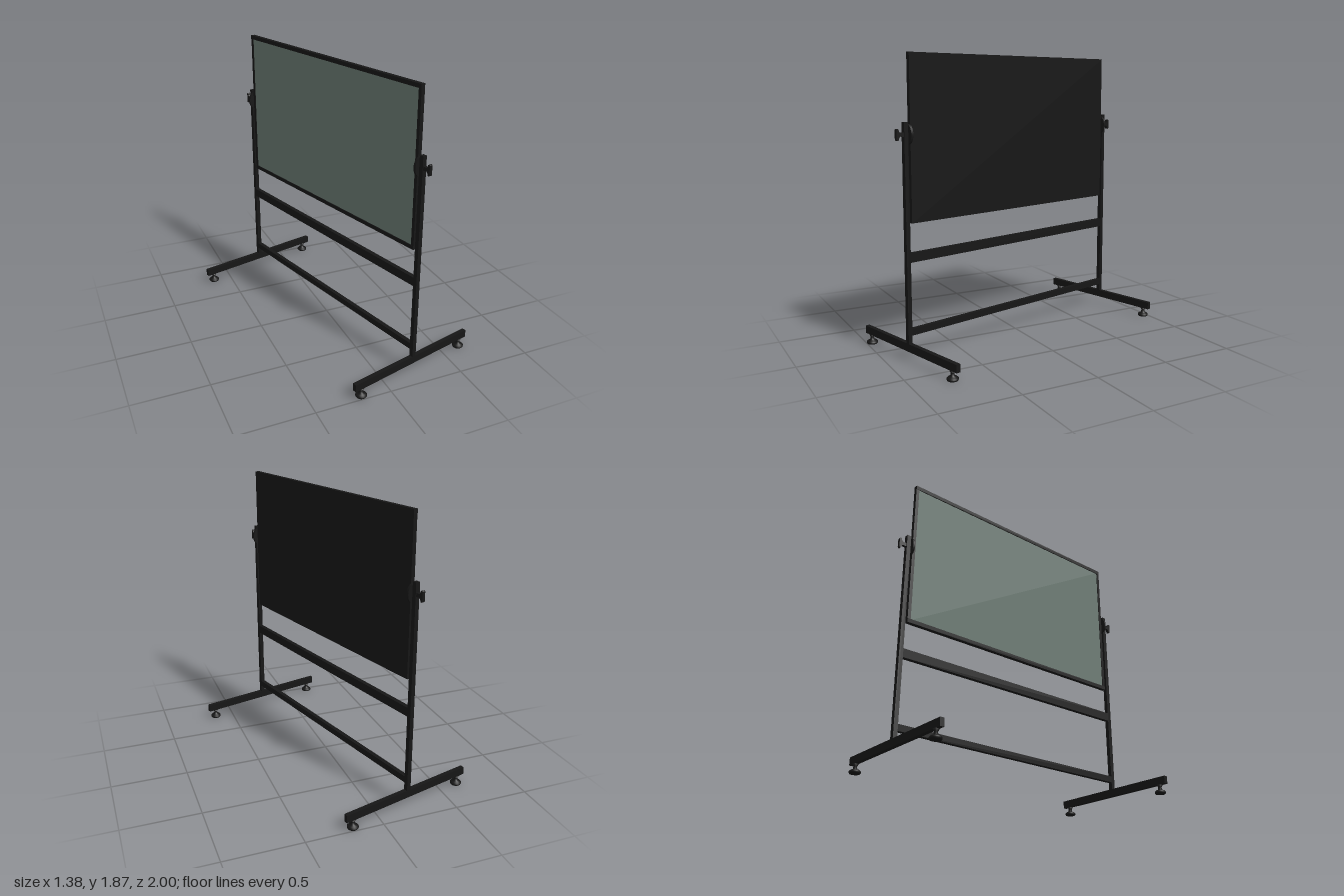
import * as THREE from 'three';

const black = new THREE.MeshStandardMaterial({ color: 0x161616 });
const green = new THREE.MeshStandardMaterial({ color: 0x66766e });

function add(parent, name, geometry, x, y, z, material = black) {
  const mesh = new THREE.Mesh(geometry, material);
  mesh.name = name;
  mesh.position.set(x, y, z);
  parent.add(mesh);
  return mesh;
}

const box = (w, h, d) => new THREE.BoxGeometry(w, h, d);

// Levelling pad: round base, thin stem, flared top
function padGeometry() {
  const profile = [[0, 0], [0.032, 0], [0.036, 0.006], [0.036, 0.014], [0.028, 0.022],
    [0.013, 0.028], [0.011, 0.045], [0.019, 0.06], [0, 0.06]];
  return new THREE.LatheGeometry(profile.map(([r, y]) => new THREE.Vector2(r, y)), 24);
}

// Flat wing knob, drawn outwards along +x and turned to point along +z
function knobGeometry() {
  const s = new THREE.Shape();
  s.moveTo(0, -0.013);
  s.lineTo(0.025, -0.011);
  s.quadraticCurveTo(0.036, -0.014, 0.038, -0.03);
  s.quadraticCurveTo(0.045, -0.04, 0.053, -0.03);
  s.lineTo(0.053, 0.03);
  s.quadraticCurveTo(0.045, 0.04, 0.038, 0.03);
  s.quadraticCurveTo(0.036, 0.014, 0.025, 0.011);
  s.lineTo(0, 0.013);
  const g = new THREE.ExtrudeGeometry(s, { depth: 0.02, bevelEnabled: false, curveSegments: 6 });
  g.translate(0, 0, -0.01);
  g.rotateY(-Math.PI / 2);
  return g;
}

// One end of the stand: foot, pads, post and pivot hardware
function createEnd() {
  const end = new THREE.Group();
  add(end, 'foot', box(0.955, 0.05, 0.028), 0, 0.085, 0.888);
  for (const side of [-1, 1]) add(end, 'levellingPad', padGeometry(), side * 0.424, 0, 0.888);
  add(end, 'post', box(0.028, 1.35, 0.028), 0, 0.785, 0.888);

  const flange = new THREE.CylinderGeometry(1, 1, 0.015, 32);
  flange.rotateX(Math.PI / 2);
  flange.scale(0.045, 0.061, 1);
  add(end, 'pivotPlate', flange, 0, 1.387, 0.8665);
  add(end, 'wingKnob', knobGeometry(), 0, 1.387, 0.9);
  return end;
}

function createBoard() {
  const board = new THREE.Group();
  board.name = 'board';
  const bottom = 0.853, top = 1.866, mid = (bottom + top) / 2, rim = 0.026;
  add(board, 'backPanel', box(0.016, top - bottom, 1.718), 0.006, mid, 0);
  add(board, 'writingSurface', box(0.007, top - bottom - 0.03, 1.69), -0.005, mid, 0, green);
  // Raised rim around the writing surface
  for (const y of [bottom + rim / 2, top - rim / 2])
    add(board, 'frameRail', box(0.026, rim, 1.718), -0.001, y, 0);
  for (const side of [-1, 1])
    add(board, 'frameStile', box(0.02, top - bottom - 2 * rim, 0.022), -0.002, mid, side * 0.848);
  return board;
}

export function createModel() {
  const model = new THREE.Group();
  model.name = 'pivotingBoard';

  const stand = new THREE.Group();
  stand.name = 'stand';
  stand.rotation.y = 0.2527;
  model.add(stand);

  for (const front of [true, false]) {
    const end = createEnd();
    end.name = front ? 'frontEnd' : 'backEnd';
    if (!front) end.rotation.y = Math.PI;
    stand.add(end);
  }

  // Cross rails between the posts
  add(stand, 'upperCrossRail', box(0.028, 0.058, 1.748), 0, 0.643, 0);
  add(stand, 'lowerCrossRail', box(0.028, 0.042, 1.748), 0, 0.179, 0);

  stand.add(createBoard());
  return model;
}
